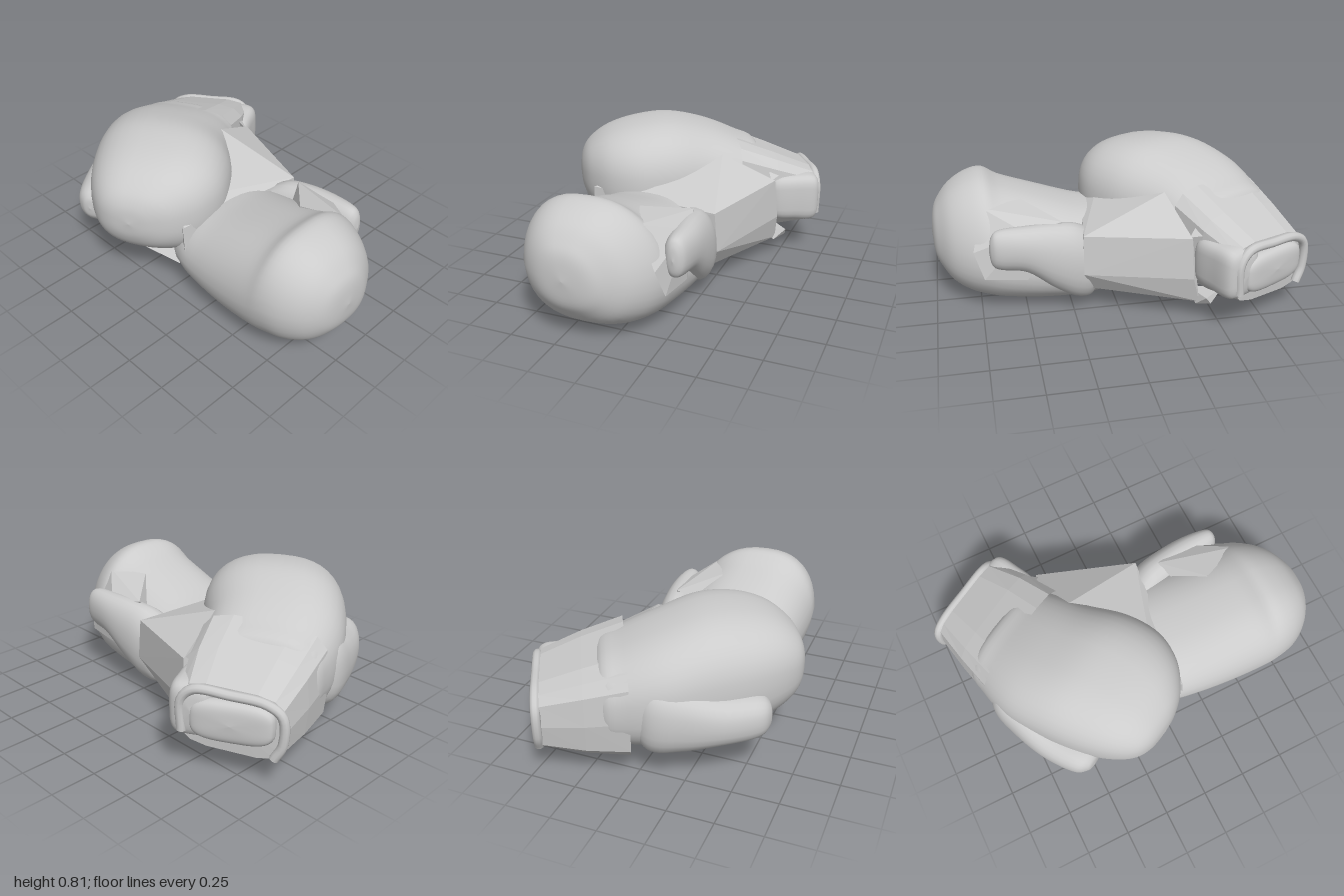
import * as THREE from 'three';
import { ConvexGeometry } from 'three/addons/geometries/ConvexGeometry.js';

const smooth = new THREE.MeshStandardMaterial({ color: 0xcccccc, side: THREE.DoubleSide });
const faceted = new THREE.MeshStandardMaterial({ color: 0xcccccc, side: THREE.DoubleSide, flatShading: true });

// Skin over rounded cross-sections [z, xMin, xMax, yMin, yMax], listed from front to back.
// taper narrows the upper half, lean shifts it towards -x, roll lifts the +x side.
function loft(name, sections, { sides = 40, steps = 48, power = 2.5, taper = 0, lean = 0, roll = 0, material = smooth } = {}) {
  const across = new THREE.CatmullRomCurve3(sections.map(s => new THREE.Vector3(s[0], s[1], s[2])), false, 'catmullrom');
  const upright = new THREE.CatmullRomCurve3(sections.map(s => new THREE.Vector3(s[3], s[4], 0)), false, 'catmullrom');
  const pos = [], index = [];
  const bend = v => Math.sign(v) * Math.pow(Math.abs(v), 2 / power);
  for (let i = 0; i <= steps; i++) {
    const a = across.getPoint(i / steps), u = upright.getPoint(i / steps);
    for (let j = 0; j < sides; j++) {
      const t = (j / sides) * Math.PI * 2;
      const v = bend(Math.sin(t)), dy = (u.y - u.x) / 2 * v;
      const dx = (a.z - a.y) / 2 * bend(Math.cos(t)) * (1 - taper * Math.max(0, v));
      pos.push((a.y + a.z) / 2 + dx - lean * dy, (u.x + u.y) / 2 + dy + roll * dx, a.x);
      if (i === steps) continue;
      const k = (j + 1) % sides, p = i * sides, q = p + sides;
      index.push(p + j, q + j, p + k, q + j, q + k, p + k);
    }
  }
  const g = new THREE.BufferGeometry();
  g.setAttribute('position', new THREE.Float32BufferAttribute(pos, 3));
  g.setIndex(index);
  g.computeVertexNormals();
  const mesh = new THREE.Mesh(g, material);
  mesh.name = name;
  return mesh;
}

// Faceted hull around a few corner points
function hull(name, points) {
  const mesh = new THREE.Mesh(new ConvexGeometry(points.map(p => new THREE.Vector3(...p))), faceted);
  mesh.name = name;
  return mesh;
}

function frontGlove() {
  const g = new THREE.Group();
  g.name = 'frontGlove';
  g.add(loft('frontFist', [
    [1.0, -0.19, -0.19, 0.36, 0.36],
    [0.985, -0.31, -0.06, 0.24, 0.48],
    [0.95, -0.39, 0.02, 0.17, 0.55],
    [0.89, -0.46, 0.11, 0.10, 0.62],
    [0.8, -0.515, 0.18, 0.05, 0.675],
    [0.7, -0.54, 0.225, 0.025, 0.695],
    [0.6, -0.54, 0.24, 0.01, 0.64],
    [0.4, -0.525, 0.26, 0.0, 0.575],
    [0.2, -0.5, 0.28, 0.015, 0.515],
    [0.05, -0.47, 0.27, 0.05, 0.48],
    [-0.03, -0.4, 0.2, 0.1, 0.42],
    [-0.05, -0.1, -0.1, 0.26, 0.26],
  ], { taper: 0.16, lean: 0.1 }));
  g.add(loft('frontThumb', [
    [0.7, 0.26, 0.26, 0.41, 0.41],
    [0.685, 0.22, 0.295, 0.33, 0.49],
    [0.64, 0.19, 0.32, 0.3, 0.525],
    [0.5, 0.16, 0.335, 0.27, 0.53],
    [0.35, 0.12, 0.335, 0.15, 0.525],
    [0.22, 0.08, 0.32, 0.07, 0.5],
    [0.13, 0.05, 0.28, 0.08, 0.42],
    [0.1, 0.15, 0.15, 0.25, 0.25],
  ], { sides: 24, power: 2.2 }));
  // Flat web between fist and thumb
  g.add(hull('frontThumbWeb', [[0.09, 0.59, 0.72], [0.22, 0.53, 0.3], [0.2, 0.38, 0.78], [0.235, 0.23, 0.73],
    [0.26, 0.22, 0.5], [0.26, 0.5, 0.5], [0, 0.4, 0.4], [0, 0.59, 0.5]]));
  return g;
}

function backGlove() {
  const g = new THREE.Group();
  g.name = 'backGlove';
  g.rotation.y = -1.08;
  g.add(loft('backFist', [
    [0.535, -0.41, -0.41, 0.5, 0.5],
    [0.52, -0.53, -0.29, 0.4, 0.6],
    [0.47, -0.62, -0.17, 0.31, 0.68],
    [0.36, -0.7, -0.05, 0.23, 0.755],
    [0.2, -0.765, 0.015, 0.17, 0.8],
    [0.0, -0.81, 0.0, 0.14, 0.81],
    [-0.22, -0.83, -0.07, 0.13, 0.755],
    [-0.42, -0.79, -0.11, 0.14, 0.675],
    [-0.55, -0.72, -0.16, 0.18, 0.6],
    [-0.57, -0.44, -0.44, 0.36, 0.36],
  ]));
  // Faceted wrist and cuff, closed at the end
  g.add(loft('cuff', [
    [-0.4, -0.79, -0.11, 0.13, 0.67],
    [-0.62, -0.735, -0.11, 0.13, 0.59],
    [-0.84, -0.67, -0.14, 0.155, 0.5],
    [-0.85, -0.41, -0.41, 0.32, 0.32],
  ], { sides: 14, steps: 3, power: 4, roll: 0.08, material: faceted }));
  // Soft pad inside the cuff end, under an arched lip
  g.add(loft('cuffPad', [
    [-0.8, -0.62, -0.2, 0.22, 0.44],
    [-0.86, -0.62, -0.2, 0.22, 0.44],
    [-0.89, -0.58, -0.24, 0.25, 0.41],
    [-0.9, -0.41, -0.41, 0.33, 0.33],
  ], { power: 3.5, steps: 24 }));
  const arch = [[-0.62, 0.17], [-0.66, 0.25], [-0.655, 0.4], [-0.58, 0.455], [-0.4, 0.475], [-0.22, 0.48], [-0.16, 0.42], [-0.16, 0.25]];
  const lip = new THREE.Mesh(new THREE.TubeGeometry(
    new THREE.CatmullRomCurve3(arch.map(([x, y]) => new THREE.Vector3(x, y, -0.86))), 40, 0.025, 10), smooth);
  lip.name = 'cuffLip';
  g.add(lip);
  g.add(loft('wristPad', [
    [-0.57, -0.2, -0.2, 0.36, 0.36],
    [-0.59, -0.3, -0.1, 0.24, 0.48],
    [-0.72, -0.3, -0.085, 0.22, 0.5],
    [-0.85, -0.3, -0.1, 0.225, 0.485],
    [-0.88, -0.22, -0.22, 0.36, 0.36],
  ], { power: 4, sides: 28, steps: 24 }));
  g.add(loft('backThumb', [
    [0.31, -0.75, -0.75, 0.36, 0.36],
    [0.295, -0.8, -0.68, 0.29, 0.43],
    [0.23, -0.85, -0.62, 0.24, 0.47],
    [0.05, -0.88, -0.62, 0.22, 0.49],
    [-0.15, -0.87, -0.62, 0.19, 0.54],
    [-0.32, -0.83, -0.6, 0.19, 0.56],
    [-0.42, -0.7, -0.7, 0.36, 0.36],
  ], { sides: 24, power: 2.4 }));
  return g;
}

export function createModel() {
  const model = new THREE.Group();
  model.name = 'glovePair';
  model.add(frontGlove(), backGlove());
  // Faceted bridge joining the two gloves
  model.add(hull('bridge', [
    [-0.47, 0.48, 0.1], [-0.47, 0.2, 0.12], [-0.3, 0.12, 0.0], [-0.17, 0.53, 0.05],
    [0.3, 0.47, 0.2], [0.32, 0.25, 0.2], [0.27, 0.14, 0.15], [0.1, 0.045, 0.05],
    [0.18, 0.64, -0.27], [0.48, 0.49, -0.35], [0.5, 0.26, -0.36], [0.48, 0.11, -0.4],
    [0.18, 0.075, -0.4], [-0.2, 0.13, -0.3],
  ]));
  // Flat underside of the back glove
  model.add(hull('underside', [
    [-0.52, 0.22, -0.2], [-0.46, 0.2, 0.05], [-0.25, 0.11, -0.1], [-0.3, 0.12, -0.45], [0.1, 0.11, -0.65],
    [0.35, 0.12, -0.5], [0.18, 0.08, -0.4], [0.0, 0.3, -0.35],
  ]));
  // Small loose corners beside the cuff
  model.add(hull('cuffFold', [[0.4, 0.59, -0.42], [0.53, 0.53, -0.49], [0.46, 0.49, -0.34], [0.42, 0.5, -0.5]]));
  model.add(hull('lowerTab', [[0.38, 0.16, -0.36], [0.54, 0.16, -0.42], [0.53, 0.12, -0.45], [0.48, 0.1, -0.38], [0.42, 0.15, -0.55]]));
  return model;
}
